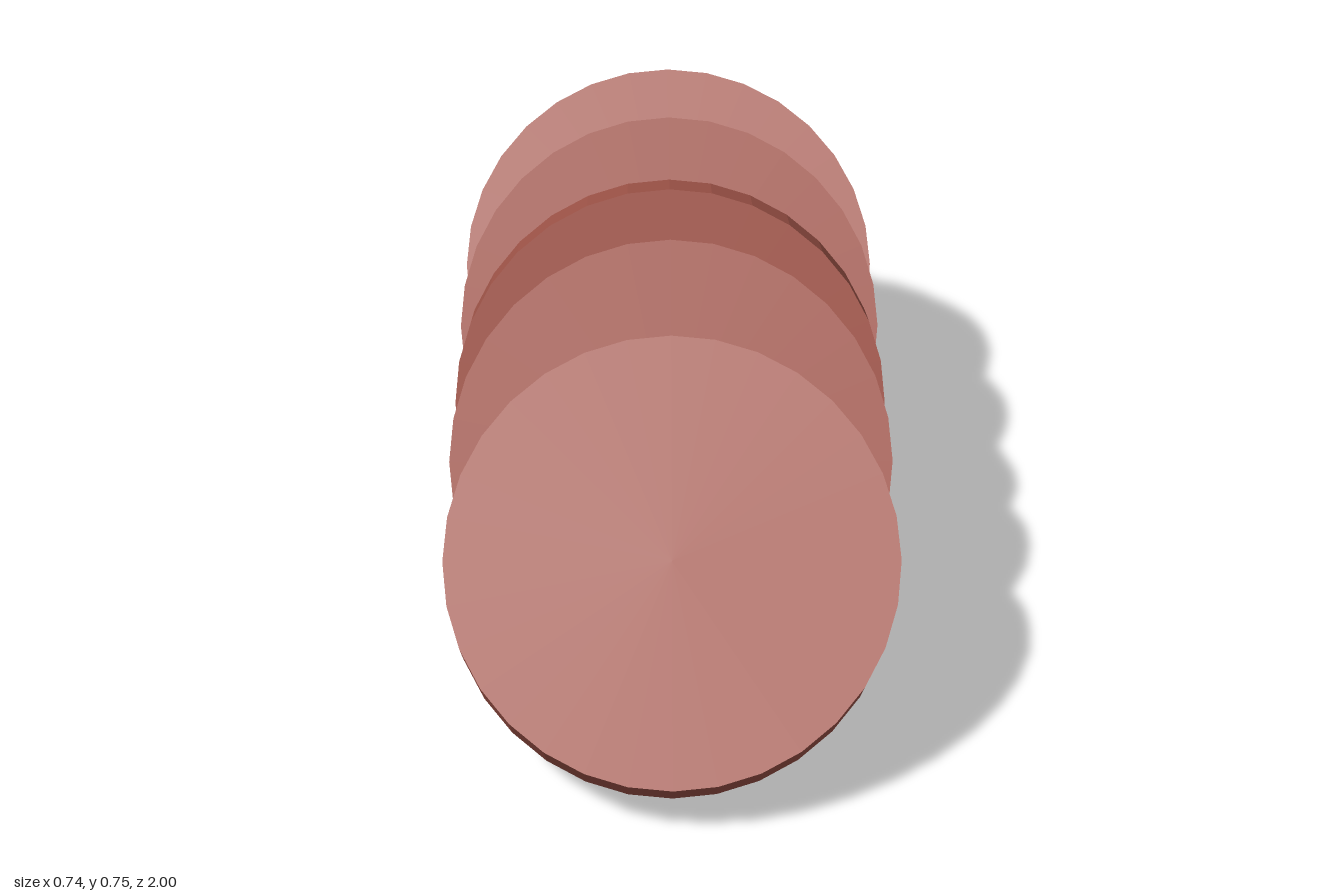
import * as THREE from 'three';

// A row of toppled thick discs leaning towards the back, the last one lying flat.
export function createModel() {
  const model = new THREE.Group();
  model.name = 'toppledDiscs';

  const material = new THREE.MeshStandardMaterial({ color: 0xa5574b, flatShading: true });
  const geometry = new THREE.CylinderGeometry(0.37, 0.37, 0.147, 32);

  // z, y of each centre, and lean from upright in degrees
  const discs = [
    [0.706, 0.346, 40],
    [0.429, 0.383, 30],
    [0.193, 0.375, 20],
    [-0.043, 0.383, 30],
    [-0.292, 0.36, 40],
    [-0.63, 0.113, 90],
  ];

  discs.forEach(([z, y, lean], i) => {
    const disc = new THREE.Mesh(geometry, material);
    disc.name = lean === 90 ? 'flatDisc' : `leaningDisc${i + 1}`;
    disc.position.set(0, y, z);
    disc.rotation.x = THREE.MathUtils.degToRad(90 - lean);
    model.add(disc);
  });

  return model;
}
